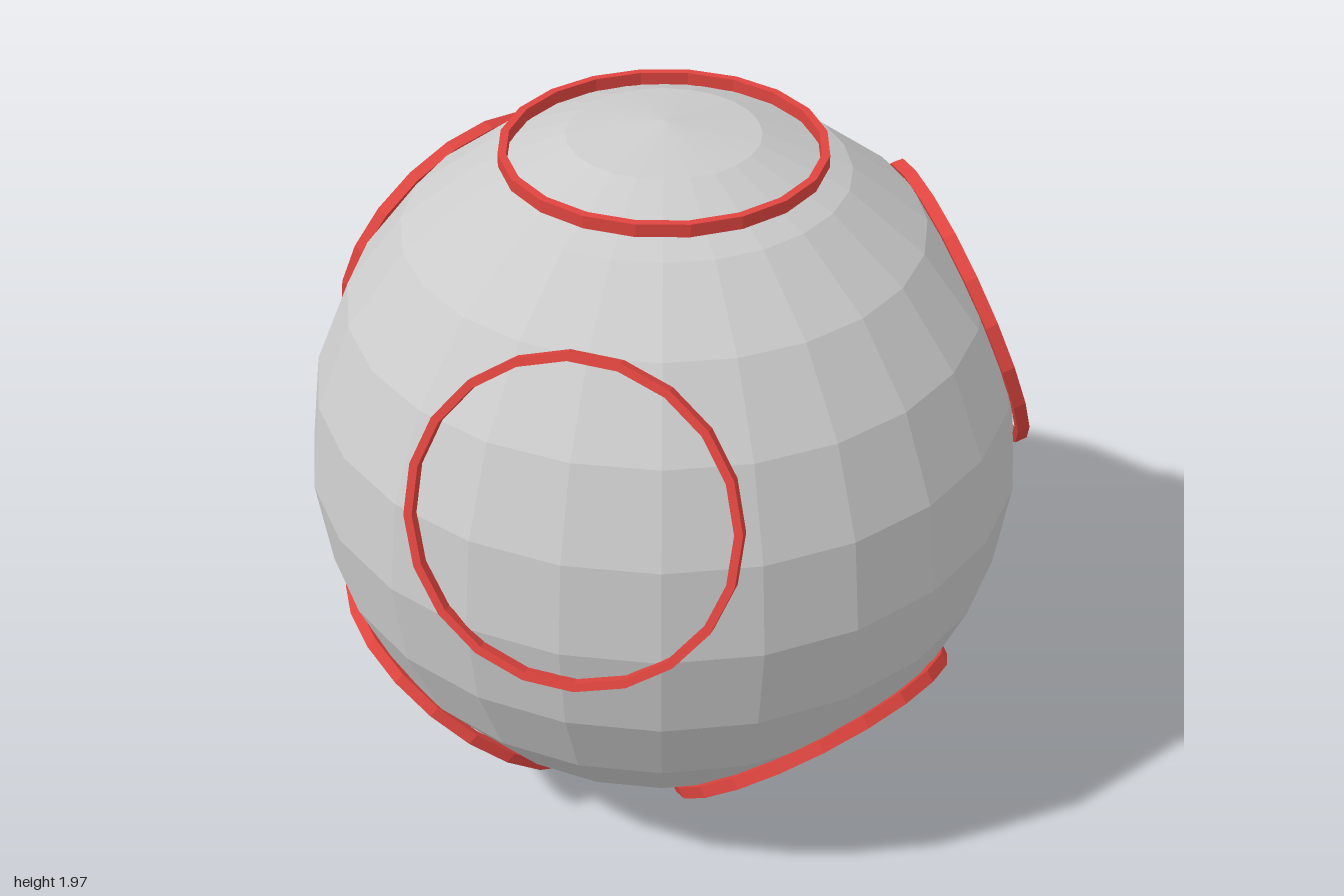
import * as THREE from 'three';

const RADIUS = 0.983;
const RING_DISTANCE = 0.903; // ring plane from ball centre
const RING_OUTER = 0.431, RING_INNER = 0.409, RING_DEPTH = 0.035;

export function createModel() {
  const model = new THREE.Group();
  model.name = 'ringedBall';

  const grey = new THREE.MeshStandardMaterial({ color: 0xcccccc, flatShading: true });
  const red = new THREE.MeshStandardMaterial({ color: 0xe0453f, flatShading: true });

  const centre = new THREE.Group();
  centre.name = 'ballWithRings';
  centre.position.set(0, 0.986, 0.013);
  model.add(centre);

  // Faceted ball
  const ball = new THREE.Mesh(new THREE.SphereGeometry(RADIUS, 24, 12), grey);
  ball.name = 'ball';
  centre.add(ball);

  // Flat band with a rectangular section, its axis along y
  const h = RING_DEPTH / 2;
  const section = [
    [RING_INNER, -h], [RING_OUTER, -h], [RING_OUTER, h], [RING_INNER, h], [RING_INNER, -h],
  ].map(([r, y]) => new THREE.Vector2(r, y));
  const ringGeometry = new THREE.LatheGeometry(section, 20);

  // Places a ring facing outwards; azimuth is measured from the front towards +x
  const up = new THREE.Vector3(0, 1, 0);
  function addRing(name, elevation, azimuth) {
    const e = THREE.MathUtils.degToRad(elevation);
    const a = THREE.MathUtils.degToRad(azimuth);
    const direction = new THREE.Vector3(
      Math.cos(e) * Math.sin(a), Math.sin(e), Math.cos(e) * Math.cos(a));
    const ring = new THREE.Mesh(ringGeometry, red);
    ring.name = name;
    ring.position.copy(direction).multiplyScalar(RING_DISTANCE);
    ring.quaternion.setFromUnitVectors(up, direction);
    centre.add(ring);
  }

  // One ring on top, three around the upper half, three around the lower half
  addRing('topRing', 90, 0);
  addRing('upperLeftRing', 20, 60);
  addRing('upperRightRing', 20, -60);
  addRing('upperBackRing', 20, 180);
  addRing('lowerFrontRing', -49.5, 0);
  addRing('lowerLeftRing', -49.5, 120);
  addRing('lowerRightRing', -49.5, -120);

  return model;
}
